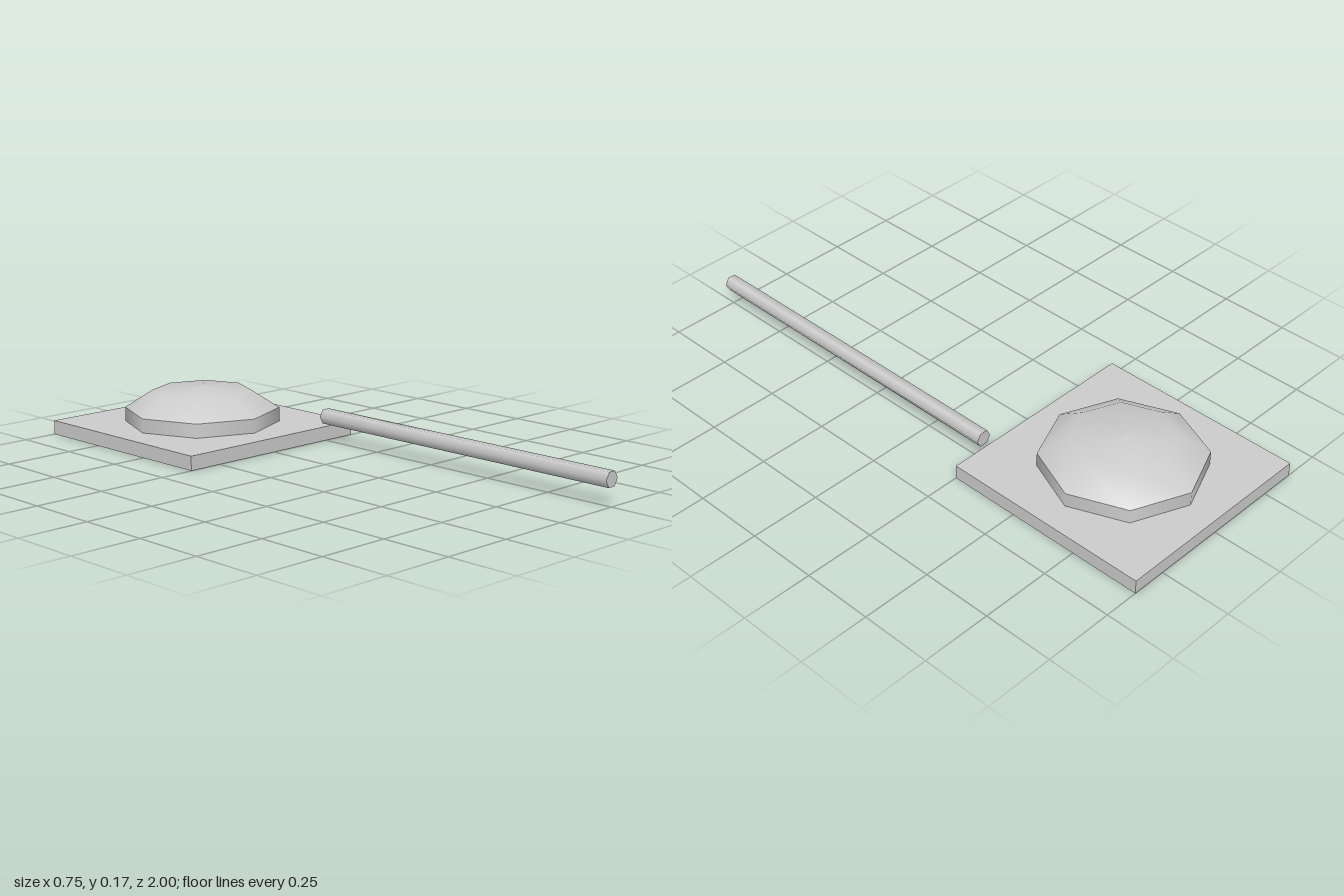
import * as THREE from 'three';

export function createModel() {
  const model = new THREE.Group();
  const grey = new THREE.MeshStandardMaterial({ color: 0xcccccc });
  grey.name = 'light grey';

  const add = (name, geometry, x, y, z) => {
    const mesh = new THREE.Mesh(geometry, grey);
    mesh.name = name;
    mesh.position.set(x, y, z);
    model.add(mesh);
  };

  const centreZ = -0.625;

  // Square base plate
  add('basePlate', new THREE.BoxGeometry(0.75, 0.05, 0.75), 0, 0.025, centreZ);

  // Eight-sided turret ring with a shallow dome
  add('turretRing', new THREE.CylinderGeometry(0.275, 0.275, 0.05, 8), 0, 0.075, centreZ);
  const domeProfile = [[0.275, 0.1], [0.176, 0.163], [0, 0.175]]
    .map(([r, y]) => new THREE.Vector2(r, y));
  add('dome', new THREE.LatheGeometry(domeProfile, 8), 0, 0, centreZ);

  // Six-sided rod in front of the plate, corners pointing sideways
  const rod = new THREE.CylinderGeometry(0.029, 0.029, 1.25, 6);
  rod.rotateY(Math.PI / 2).rotateX(Math.PI / 2);
  add('rod', rod, 0.249, 0.0885, 0.375);

  return model;
}
